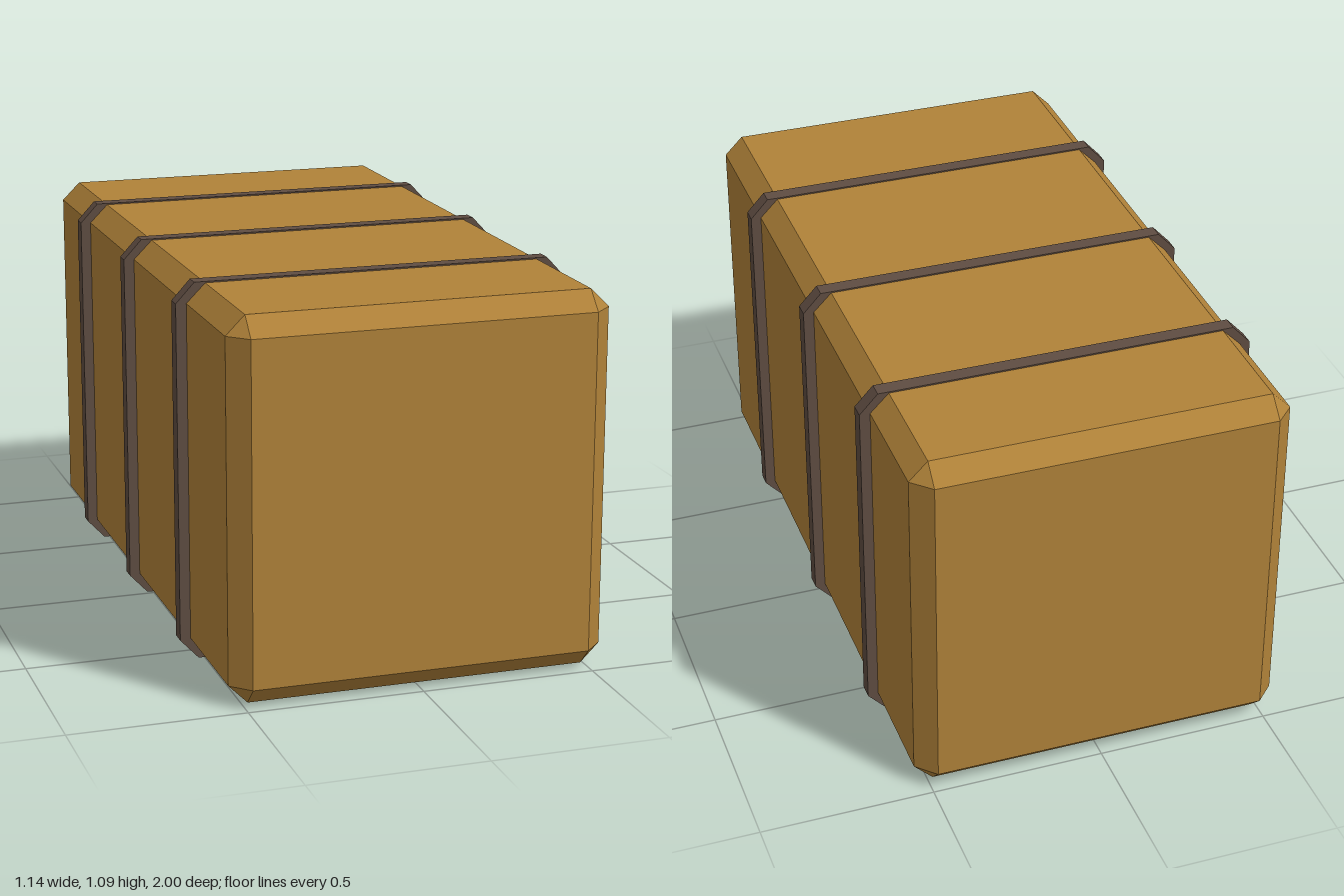
import * as THREE from 'three';
import { ConvexGeometry } from 'three/addons/geometries/ConvexGeometry.js';

const HALF_W = 0.54, HALF_H = 0.538, HALF_D = 1, BEVEL = 0.054, MID_Y = 0.545;

// Box with flat bevelled edges and triangular corners
function bevelledBox(w, h, d, c) {
  const points = [];
  for (const sx of [-1, 1]) for (const sy of [-1, 1]) for (const sz of [-1, 1]) {
    points.push(
      new THREE.Vector3(sx * w, sy * (h - c), sz * (d - c)),
      new THREE.Vector3(sx * (w - c), sy * h, sz * (d - c)),
      new THREE.Vector3(sx * (w - c), sy * (h - c), sz * d));
  }
  return new ConvexGeometry(points);
}

// Rectangle with cut corners, centred on the body's axis
function cutCornerPoints(w, h, cx, cy) {
  return [
    [w, h - cy], [w - cx, h], [cx - w, h], [-w, h - cy],
    [-w, cy - h], [cx - w, -h], [w - cx, -h], [w, cy - h],
  ].map(([x, y]) => new THREE.Vector2(x, y));
}

export function createModel() {
  const group = new THREE.Group();
  const tan = new THREE.MeshStandardMaterial({ name: 'tan brown', color: 0xb08239, flatShading: true });
  const dark = new THREE.MeshStandardMaterial({ name: 'dark brown', color: 0x5f4d42, flatShading: true });

  // Bale body
  const body = new THREE.Mesh(bevelledBox(HALF_W, HALF_H, HALF_D, BEVEL), tan);
  body.name = 'body';
  body.position.y = MID_Y;
  group.add(body);

  // Three straps wrapped around the body
  const width = 0.045;
  const outline = new THREE.Shape(cutCornerPoints(0.57, 0.5435, 0.053, 0.057));
  outline.holes.push(new THREE.Path(cutCornerPoints(0.53, 0.528, BEVEL, BEVEL)));
  const strapGeometry = new THREE.ExtrudeGeometry(outline, { depth: width, bevelEnabled: false });
  strapGeometry.translate(0, 0, -width / 2);
  [0.543, -0.035, -0.585].forEach((z, i) => {
    const strap = new THREE.Mesh(strapGeometry, dark);
    strap.name = ['frontStrap', 'middleStrap', 'backStrap'][i];
    strap.position.set(0, 0.5435, z);
    group.add(strap);
  });

  return group;
}
